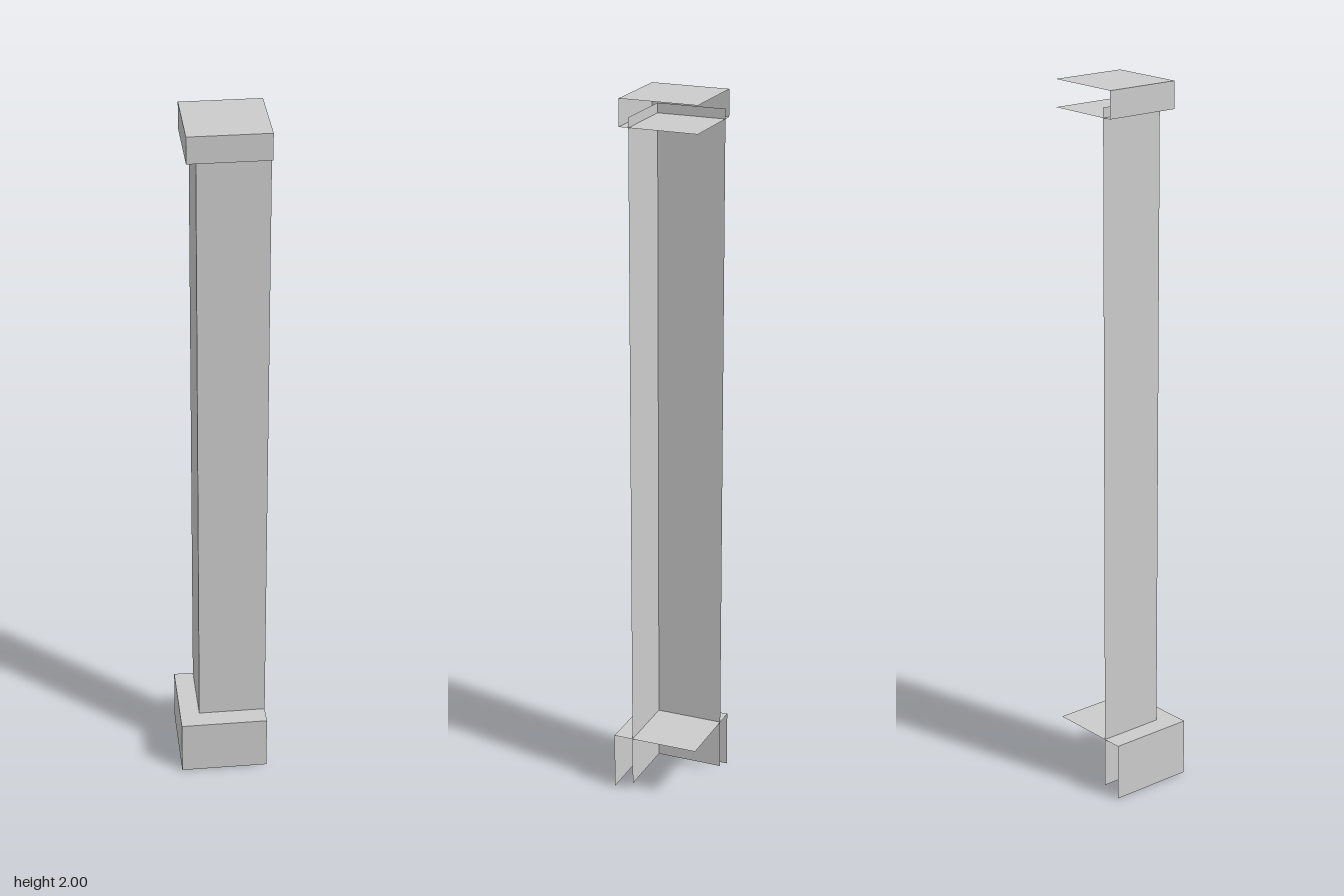
import * as THREE from 'three';

const material = new THREE.MeshStandardMaterial({ color: 0xcccccc, side: THREE.DoubleSide });
const EDGE = 0.124; // open sides end here, at +x and -z

// Corner section: front and -x walls reaching out to -out / +out, with optional lids at given heights
function cornerSection(name, out, bottom, top, lids = []) {
  const group = new THREE.Group();
  group.name = name;
  const width = EDGE + out;
  const height = top - bottom;
  const midX = (EDGE - out) / 2;
  const midY = (bottom + top) / 2;

  const add = (label, w, h, position, rx, ry) => {
    const mesh = new THREE.Mesh(new THREE.PlaneGeometry(w, h), material);
    mesh.name = label;
    mesh.position.set(...position);
    mesh.rotation.set(rx, ry, 0);
    group.add(mesh);
  };

  add(name + 'FrontWall', width, height, [midX, midY, out], 0, 0);
  add(name + 'SideWall', width, height, [-out, midY, -midX], 0, -Math.PI / 2);
  for (const lid of lids) {
    const up = lid === top;
    add(name + (up ? 'Top' : 'Underside'), width, width, [midX, lid, -midX], up ? -Math.PI / 2 : Math.PI / 2, 0);
  }
  return group;
}

export function createModel() {
  const model = new THREE.Group();
  model.name = 'cornerPillar';
  model.add(
    cornerSection('base', EDGE, 0, 0.163, [0.163]),
    cornerSection('shaft', 0.068, 0.02, 1.953),
    cornerSection('capital', 0.095, 1.926, 2, [1.926, 2])
  );
  return model;
}
